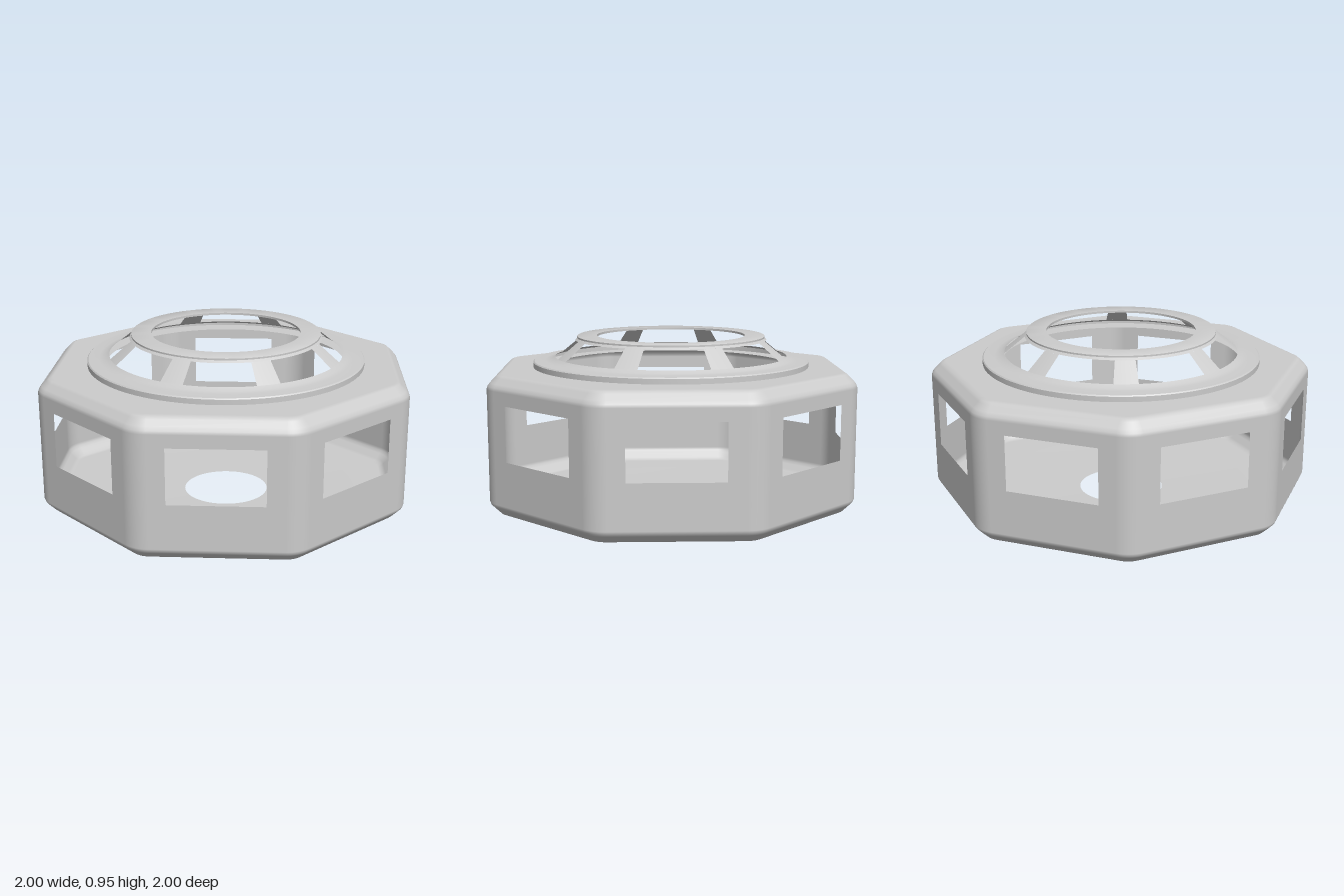
import * as THREE from 'three';
import { toCreasedNormals } from 'three/addons/utils/BufferGeometryUtils.js';

const R = 0.17;                                    // corner rounding of the octagon
const T = Math.tan(Math.PI / 8);
const FLAT = (1 - R) * T;                          // half length of each flat side
const ARC = 8;                                     // steps per rounded corner

// Rounded octagon of apothem a: points with their outward directions
function outline(a) {
  const pts = [], rc = (1 - R) / Math.cos(Math.PI / 8), r = R - (1 - a);
  for (let k = 0; k < 8; k++) {
    const mid = (k + 0.5) * Math.PI / 4;
    for (let i = 0; i <= ARC; i++) {
      const t = mid + (i / ARC - 0.5) * Math.PI / 4;
      const dx = Math.sin(t), dz = Math.cos(t);
      pts.push({ x: rc * Math.sin(mid) + r * dx, z: rc * Math.cos(mid) + r * dz, dx, dz });
    }
  }
  return pts;
}

// Skin through rows of [apothem, height, normal tilt]; cornersOnly leaves the flat sides open
function loft(rows, cornersOnly = false) {
  const pos = [], nor = [], idx = [], n = 8 * (ARC + 1);
  for (const [a, y, tilt] of rows) {
    const c = Math.cos(tilt), s = Math.sin(tilt);
    for (const p of outline(a)) {
      pos.push(p.x, y, p.z);
      nor.push(p.dx * c, s, p.dz * c);
    }
  }
  for (let r = 0; r < rows.length - 1; r++) {
    for (let i = 0; i < n; i++) {
      if (cornersOnly && i % (ARC + 1) === ARC) continue;
      const a = r * n + i, b = r * n + (i + 1) % n;
      idx.push(a, b, b + n, a, b + n, a + n);
    }
  }
  const g = new THREE.BufferGeometry();
  g.setAttribute('position', new THREE.Float32BufferAttribute(pos, 3));
  g.setAttribute('normal', new THREE.Float32BufferAttribute(nor, 3));
  g.setIndex(idx);
  return g;
}

// Flat octagonal plate with a round hole
function plate(a, hole, y, up) {
  const shape = new THREE.Shape(outline(a).map(p => new THREE.Vector2(p.x, p.z)));
  shape.holes.push(new THREE.Path().absarc(0, 0, hole, 0, Math.PI * 2));
  return new THREE.ShapeGeometry(shape, 48).rotateX(up ? -Math.PI / 2 : Math.PI / 2).translate(0, y, 0);
}

function lathe(points, segments = 96, start = 0, length = Math.PI * 2) {
  const v = points.map(([x, y]) => new THREE.Vector2(x, y));
  return toCreasedNormals(new THREE.LatheGeometry(v, segments, start, length), 0.6);
}

export function createModel() {
  const group = new THREE.Group();
  const mat = new THREE.MeshStandardMaterial({ color: 0xcccccc, side: THREE.DoubleSide });
  const add = (name, geometry, parent = group) => {
    const m = new THREE.Mesh(geometry, mat);
    m.name = name;
    parent.add(m);
    return m;
  };

  // Octagonal body: rounded corners and softened bevels
  add('wallCorners', loft([[1, 0.085, 0], [1, 0.7, 0]], true));
  add('topBevel', loft([[1, 0.7, 0], [0.994, 0.717, 0.45], [0.98, 0.735, 0.8],
    [0.953, 0.762, 0.8], [0.94, 0.773, 1.1], [0.92, 0.78, Math.PI / 2]]));
  add('bottomBevel', loft([[0.92, 0.01, -Math.PI / 2], [0.94, 0.015, -1.1], [0.953, 0.027, -0.8],
    [0.98, 0.054, -0.8], [0.994, 0.069, -0.45], [1, 0.085, 0]]));

  // Eight flat walls, each with a window
  const panel = new THREE.Shape([[-FLAT, 0.085], [FLAT, 0.085], [FLAT, 0.7], [-FLAT, 0.7]]
    .map(p => new THREE.Vector2(...p)));
  panel.holes.push(new THREE.Path([[-0.25, 0.33], [-0.25, 0.63], [0.25, 0.63], [0.25, 0.33]]
    .map(p => new THREE.Vector2(...p))));
  const panelGeometry = new THREE.ShapeGeometry(panel).translate(0, 0, 1);
  const walls = new THREE.Group();
  walls.name = 'windowWalls';
  group.add(walls);
  for (let k = 0; k < 8; k++) add('windowWall', panelGeometry, walls).rotation.y = k * Math.PI / 4;

  // Roof plate, and a floor that sags slightly towards its round opening
  add('roof', plate(0.92, 0.67, 0.78, true));
  add('floorRim', plate(0.92, 0.75, 0.01, false));
  add('floorCentre', lathe([[0.24, 0], [0.46, 0.003], [0.75, 0.01]]));

  // Cupola: stepped base, eight sloping posts and an open top ring
  add('cupolaBase', lathe([[0.778, 0.778], [0.778, 0.808], [0.772, 0.814], [0.71, 0.816],
    [0.68, 0.82], [0.655, 0.834]]));
  const posts = new THREE.Group();
  posts.name = 'cupolaPosts';
  group.add(posts);
  const half = THREE.MathUtils.degToRad(16.8), span = Math.PI / 4 - 2 * half;
  const postGeometry = lathe([[0.655, 0.834], [0.54, 0.926]], 6, half, span);
  for (let k = 0; k < 8; k++) add('cupolaPost', postGeometry, posts).rotation.y = k * Math.PI / 4;
  add('cupolaTopRing', lathe([[0.54, 0.926], [0.524, 0.938], [0.53, 0.938], [0.53, 0.947],
    [0.525, 0.95], [0.418, 0.95], [0.418, 0.938], [0.524, 0.938]]));

  return group;
}
